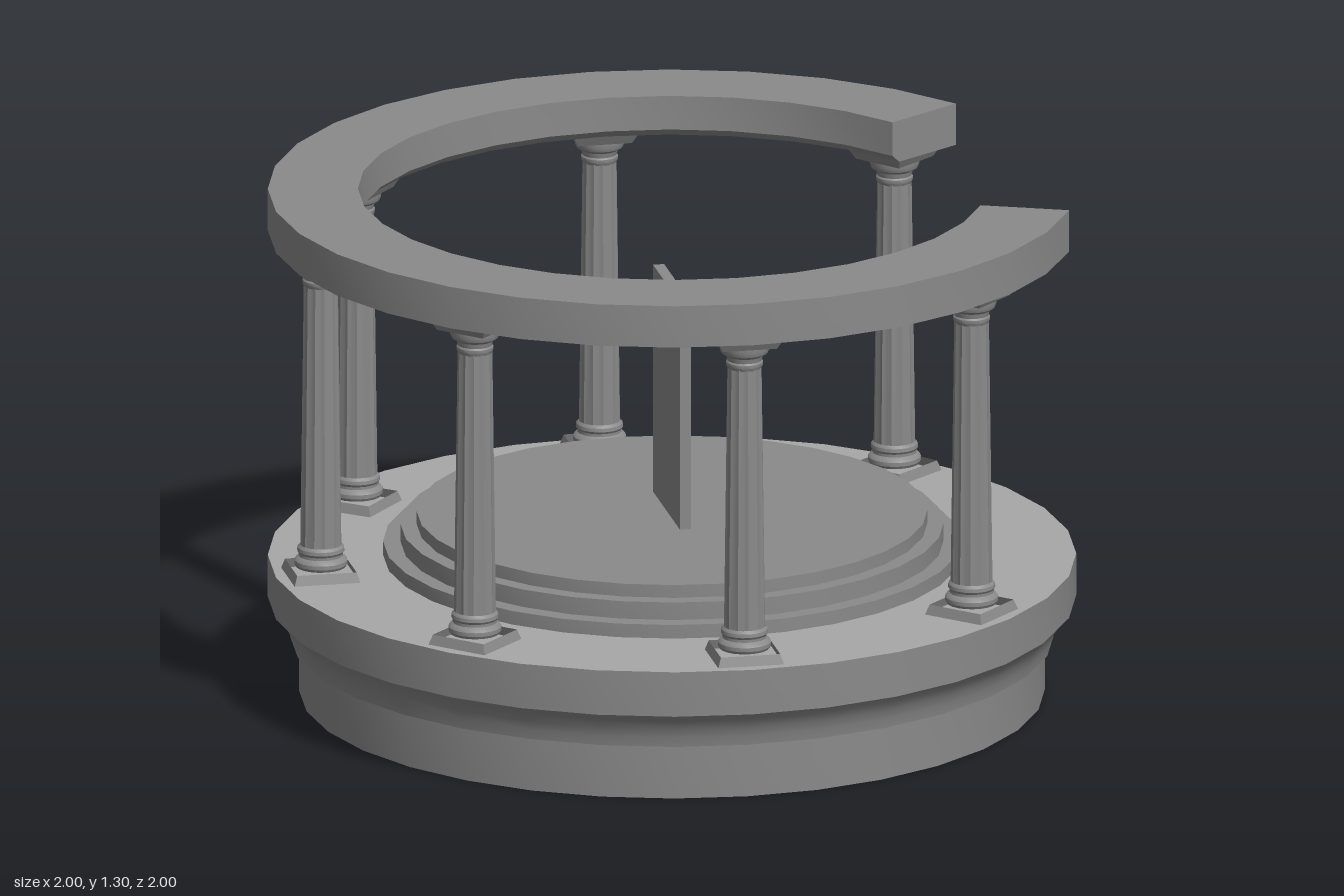
import * as THREE from 'three';
import { toCreasedNormals } from 'three/addons/utils/BufferGeometryUtils.js';

const SIDES = 32;
const rad = THREE.MathUtils.degToRad;
const darkStone = new THREE.MeshStandardMaterial({ color: 0x8a8a8a, side: THREE.DoubleSide });
const paleStone = new THREE.MeshStandardMaterial({ color: 0xa8a8a8, side: THREE.DoubleSide });

function part(name, geometry, material = darkStone) {
  const mesh = new THREE.Mesh(toCreasedNormals(geometry, 0.5), material);
  mesh.name = name;
  return mesh;
}

const toPoints = (profile) => profile.map(([r, y]) => new THREE.Vector2(r, y));

function lathe(profile, sides) {
  return new THREE.LatheGeometry(toPoints(profile), sides);
}

// Square slab with sloping sides, given half widths and heights
function slab(halfBottom, halfTop, y0, y1, open = false) {
  return new THREE.CylinderGeometry(halfTop * Math.SQRT2, halfBottom * Math.SQRT2, y1 - y0, 4, 1, open)
    .rotateY(Math.PI / 4).translate(0, (y0 + y1) / 2, 0);
}

// Tapered shaft with shallow round flutes
function flutedShaft(y0, y1, r0, r1) {
  const flutes = 12, g = new THREE.CylinderGeometry(r1, r0, y1 - y0, flutes * 4, 4, true);
  const p = g.attributes.position;
  for (let i = 0; i < p.count; i++) {
    const a = Math.atan2(p.getX(i), p.getZ(i));
    const k = 1 - 0.07 * Math.abs(Math.sin(a * flutes / 2));
    p.setXYZ(i, p.getX(i) * k, p.getY(i), p.getZ(i) * k);
  }
  return g.translate(0, (y0 + y1) / 2, 0);
}

function createColumn() {
  const column = new THREE.Group();
  column.name = 'column';
  column.add(part('columnPlinth', slab(0.083, 0.075, 0.35, 0.375, true)));
  column.add(part('columnBase', lathe([
    [0.062, 0.375], [0.066, 0.382], [0.066, 0.392], [0.06, 0.4],
    [0.055, 0.403], [0.055, 0.41], [0.059, 0.416], [0.058, 0.425], [0.052, 0.432],
  ], 20)));
  column.add(part('columnShaft', flutedShaft(0.425, 1.115, 0.052, 0.043)));
  column.add(part('columnCapital', lathe([
    [0.042, 1.1], [0.046, 1.108], [0.046, 1.116], [0.043, 1.12],
    [0.046, 1.132], [0.058, 1.14], [0.062, 1.15], [0.062, 1.166],
  ], 20)));
  column.add(part('columnAbacus', slab(0.068, 0.083, 1.163, 1.192)));
  return column;
}

// Ring beam, chamfered along its lower inner edge, with an opening on the left side
function createBeam() {
  const beam = new THREE.Group();
  beam.name = 'ringBeam';
  const section = toPoints([
    [1, 1.19], [1, 1.297], [0.777, 1.297], [0.777, 1.21], [0.8, 1.19], [1, 1.19],
  ]);
  const segments = 27, start = rad(123.75), sweep = rad(segments * 360 / SIDES);
  beam.add(part('beamRing', new THREE.LatheGeometry(section, segments, start, sweep)));
  for (const angle of [start, start + sweep]) {
    const end = new THREE.ShapeGeometry(new THREE.Shape(section.slice(0, -1)));
    beam.add(part('beamEnd', end.rotateY(angle - Math.PI / 2)));
  }
  return beam;
}

export function createModel() {
  const model = new THREE.Group();
  model.name = 'roundPavilion';

  // Hollow base wall with cove moulding, open underneath
  model.add(part('baseWall', lathe([
    [0.923, 0], [0.923, 0.14], [0.945, 0.14], [0.949, 0.165], [0.958, 0.19],
    [0.972, 0.213], [0.99, 0.232], [0.99, 0.242], [1, 0.242], [1, 0.35],
  ], SIDES)));

  // Paler floor that the columns stand on
  model.add(part('floorRing', lathe([[1, 0.35], [0.715, 0.35]], SIDES), paleStone));

  // Round steps up to the middle
  model.add(part('centreSteps', lathe([
    [0.715, 0.35], [0.715, 0.385], [0.672, 0.385], [0.672, 0.43],
    [0.632, 0.43], [0.632, 0.463], [0, 0.463],
  ], SIDES)));

  // Thin upright panel in the middle
  model.add(part('centrePanel', new THREE.BoxGeometry(0.028, 0.587, 0.328).translate(0, 0.7565, 0)));

  // Seven columns facing outwards
  for (const angle of [0, 45, 130, 180, 230, 270, 315]) {
    const column = createColumn(), a = rad(angle);
    column.position.set(0.887 * Math.sin(a), 0, 0.887 * Math.cos(a));
    column.rotation.y = a;
    model.add(column);
  }

  model.add(createBeam());
  return model;
}
